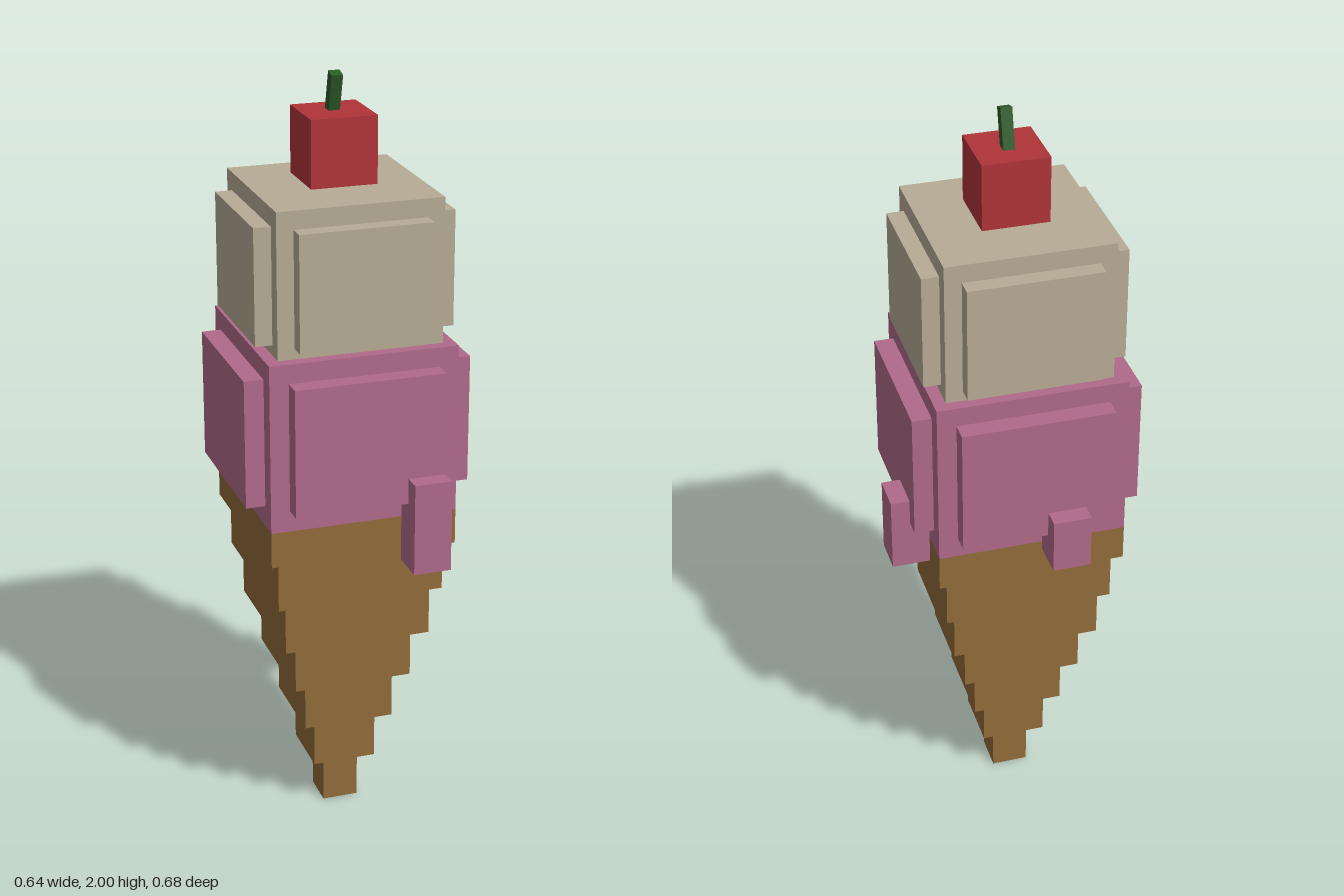
import * as THREE from 'three';

export function createModel() {
  const model = new THREE.Group();
  model.name = 'iceCreamCone';

  const makeMaterial = (name, color) => {
    const m = new THREE.MeshStandardMaterial({ color });
    m.name = name;
    return m;
  };
  const wafer = makeMaterial('waferBrown', 0x926b3a);
  const berry = makeMaterial('berryPink', 0xb06a8a);
  const vanilla = makeMaterial('vanillaCream', 0xb7ab95);
  const red = makeMaterial('cherryRed', 0xb03439);
  const green = makeMaterial('stemGreen', 0x2d5a27);

  const axisX = -0.025; // the cone's axis; the side drip offsets it from the centre

  // Box given by its limits along each axis
  const addBox = (parent, name, material, [x0, x1], [y0, y1], [z0, z1]) => {
    const mesh = new THREE.Mesh(new THREE.BoxGeometry(x1 - x0, y1 - y0, z1 - z0), material);
    mesh.position.set((x0 + x1) / 2, (y0 + y1) / 2, (z0 + z1) / 2);
    mesh.name = name;
    parent.add(mesh);
    return mesh;
  };
  const around = (half) => [axisX - half, axisX + half];
  const addGroup = (name) => {
    const group = new THREE.Group();
    group.name = name;
    model.add(group);
    return group;
  };

  // Stepped wafer cone
  const cone = addGroup('cone');
  const tierHalves = [0.048, 0.085, 0.121, 0.158, 0.195, 0.22, 0.244];
  const tierHeight = 0.136;
  tierHalves.forEach((half, i) => {
    const top = Math.min((i + 1) * tierHeight, 0.91);
    addBox(cone, `coneTier${i + 1}`, wafer, around(half), [i * tierHeight, top], [-half, half]);
  });

  // Scoop: a block with a raised panel on each of its four sides
  const addScoop = (name, material, half, height, panelHalf, reach, panelHeight) => {
    const scoop = addGroup(name);
    addBox(scoop, `${name}Core`, material, around(half), height, [-half, half]);
    for (const s of [-1, 1]) {
      const span = [half, reach].map((d) => d * s).sort((a, b) => a - b);
      addBox(scoop, `${name}SidePanel`, material,
        span.map((d) => axisX + d), panelHeight, [-panelHalf, panelHalf]);
      addBox(scoop, `${name}FacePanel`, material, around(panelHalf), panelHeight, span);
    }
  };
  addScoop('berryScoop', berry, 0.244, [0.91, 1.35], 0.195, 0.294, [0.965, 1.3]);
  addScoop('vanillaScoop', vanilla, 0.213, [1.35, 1.722], 0.17, 0.257, [1.377, 1.675]);

  // Drips running down from the lower scoop
  const drips = addGroup('drips');
  addBox(drips, 'frontDrip', berry, [0.073, 0.171], [0.79, 1.032], [0.244, 0.342]);
  addBox(drips, 'leftDrip', berry, [0.219, 0.317], [0.836, 1.032], [-0.148, -0.05]);
  addBox(drips, 'backDrip', berry, [-0.148, -0.05], [0.888, 1.032], [-0.342, -0.244]);

  // Cherry with a leaning stem
  addBox(model, 'cherry', red, around(0.085), [1.732, 1.903], [-0.085, 0.085]);
  const stem = addBox(model, 'cherryStem', green, around(0.0145), [1.883, 1.999], [-0.013, 0.016]);
  stem.rotation.x = 0.26;

  return model;
}
